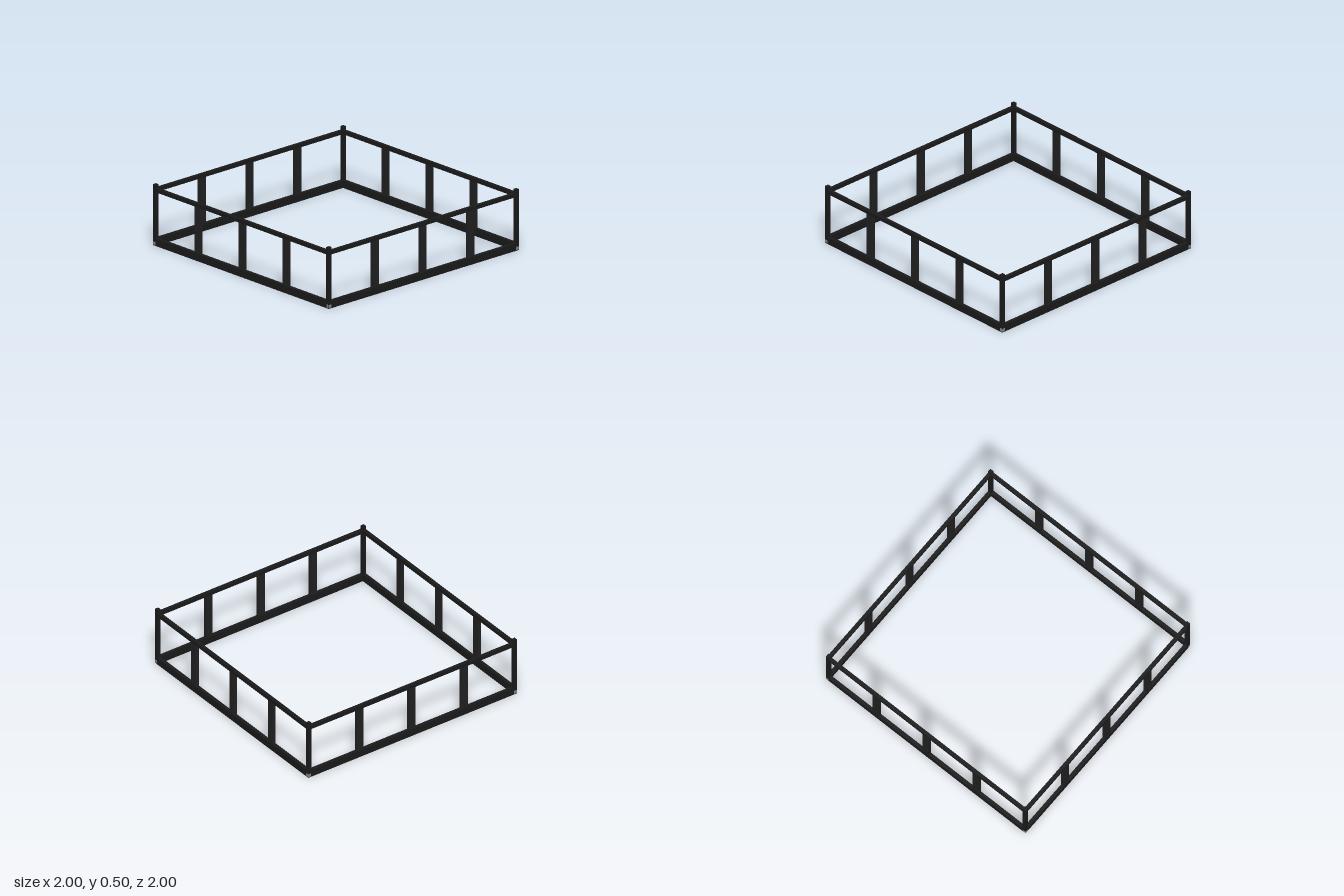
import * as THREE from 'three';
import { RoundedBoxGeometry } from 'three/addons/geometries/RoundedBoxGeometry.js';

const T = 0.03;               // bar thickness
const EDGE = 0.998;           // outer face of the frame
const C = EDGE - T / 2;       // centre line of the bars

function material(name, color) {
  const m = new THREE.MeshStandardMaterial({ color });
  m.name = name;
  return m;
}

export function createModel() {
  const model = new THREE.Group();
  model.name = 'railingFrame';
  const black = material('black', 0x1b1a1b);
  const charcoal = material('charcoal', 0x202020);
  const grey = material('grey', 0x808080);

  function add(parent, name, geometry, mat, x, y, z) {
    const mesh = new THREE.Mesh(geometry, mat);
    mesh.name = name;
    mesh.position.set(x, y, z);
    parent.add(mesh);
  }

  const railLength = 2 * (EDGE - T);
  const topRail = new THREE.BoxGeometry(railLength, 0.03, T);
  const bottomRail = new THREE.BoxGeometry(railLength, 0.06, T);
  const slat = new THREE.BoxGeometry(0.06, 0.38, T);
  const post = new THREE.BoxGeometry(T, 0.5, T);
  const foot = new RoundedBoxGeometry(0.032, 0.032, 0.032, 3, 0.007);

  // Four identical sides: two rails joined by three slats
  ['front', 'left', 'back', 'right'].forEach((side, i) => {
    const panel = new THREE.Group();
    panel.name = side + 'Panel';
    panel.rotation.y = i * Math.PI / 2;
    add(panel, 'topRail', topRail, black, 0, 0.455, C);
    add(panel, 'bottomRail', bottomRail, black, 0, 0.03, C);
    for (const x of [-0.5, 0, 0.5]) add(panel, 'slat', slat, charcoal, x, 0.25, C);
    model.add(panel);
  });

  // Corner posts with small grey feet
  for (const x of [-1, 1]) {
    for (const z of [-1, 1]) {
      add(model, 'cornerPost', post, black, x * C, 0.25, z * C);
      add(model, 'cornerFoot', foot, grey, x * 0.984, 0.018, z * 0.984);
    }
  }
  return model;
}
